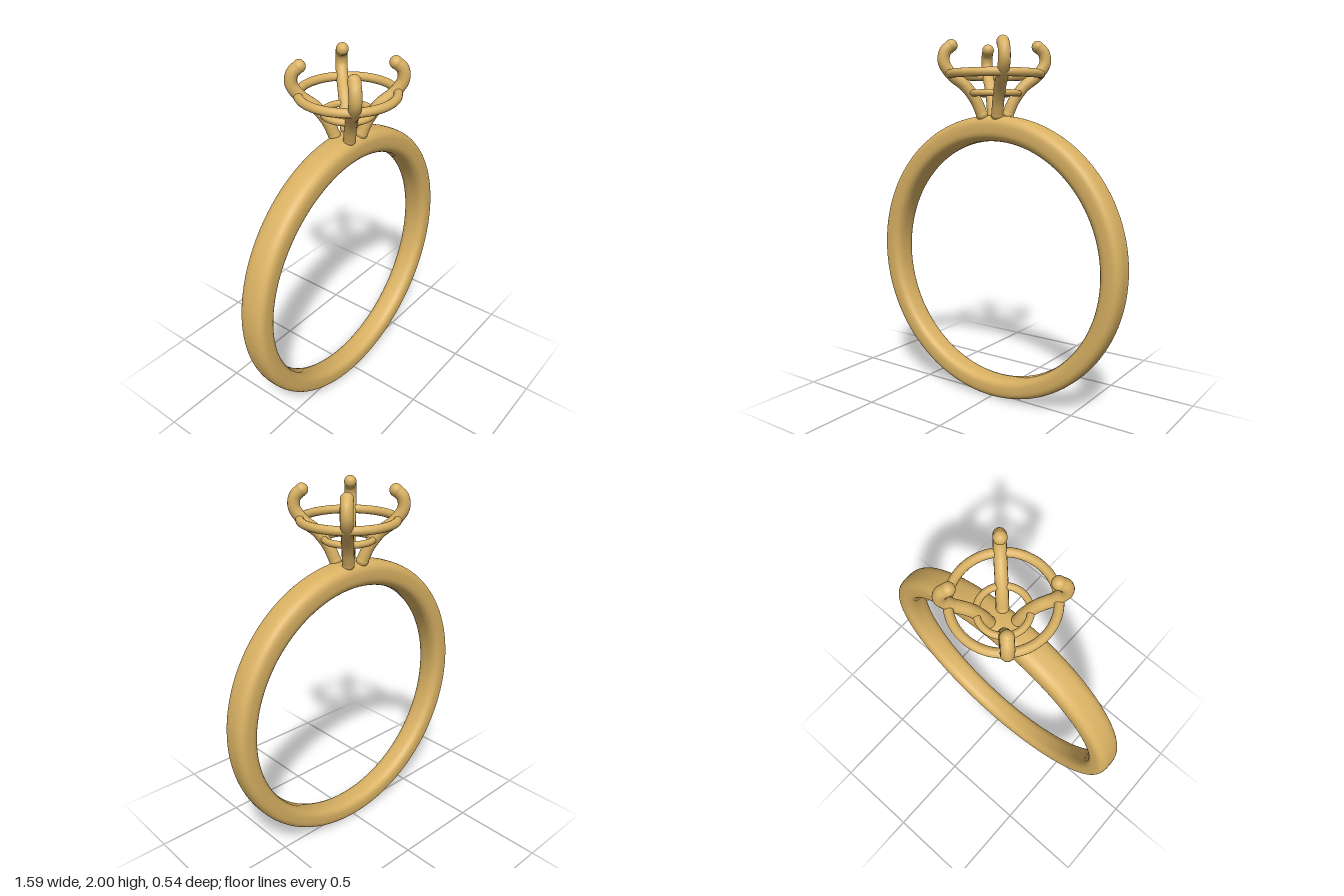
import * as THREE from 'three';
import { mergeVertices } from 'three/addons/utils/BufferGeometryUtils.js';

const gold = new THREE.MeshStandardMaterial({ color: 0xd9b163 });
gold.name = 'gold';

function part(name, geometry) {
  const mesh = new THREE.Mesh(geometry, gold);
  mesh.name = name;
  return mesh;
}

// Band: a torus reshaped to a soft rounded-box section, thicker and wider at the top
function bandGeometry() {
  const sides = 40, steps = 128, inner = 0.673, centreY = 0.79;
  let geo = new THREE.TorusGeometry(1, 0.1, sides, steps);
  geo.deleteAttribute('normal');
  geo.deleteAttribute('uv');
  const pos = geo.attributes.position;
  const soften = (v) => Math.sign(v) * Math.pow(Math.abs(v), 2 / 2.9);
  for (let j = 0; j <= sides; j++) {
    const v = ((j % sides) / sides) * Math.PI * 2;
    for (let i = 0; i <= steps; i++) {
      const u = ((i % steps) / steps) * Math.PI * 2;
      const s = Math.sin(u);
      const thick = 0.122 + 0.012 * s + 0.006 * s * s;
      const halfWidth = 0.077 + 0.008 * s;
      const r = inner + (thick / 2) * (1 + soften(Math.cos(v)));
      pos.setXYZ(j * (steps + 1) + i, r * Math.cos(u), centreY + r * s, halfWidth * soften(Math.sin(v)));
    }
  }
  geo = mergeVertices(geo, 1e-5);
  geo.computeVertexNormals();
  return geo;
}

// Horizontal wire ring of the setting
function wireRing(name, radius, tube, y) {
  const ring = part(name, new THREE.TorusGeometry(radius, tube, 16, 72));
  ring.rotation.x = Math.PI / 2;
  ring.position.y = y;
  return ring;
}

// Claw: bent wire with rounded ends, running out along a diagonal
function claw(sx, sz) {
  const profile = [[0.05, 1.605], [0.073, 1.68], [0.112, 1.755], [0.165, 1.815], [0.195, 1.88], [0.19, 1.935], [0.166, 1.967]];
  const points = profile.map(([d, y]) => new THREE.Vector3(sx * d, y, sz * d));
  const group = new THREE.Group();
  group.name = 'claw';
  const radius = 0.032;
  group.add(part('clawWire', new THREE.TubeGeometry(new THREE.CatmullRomCurve3(points), 40, radius, 16)));
  for (const [name, p] of [['clawFoot', points[0]], ['clawTip', points[points.length - 1]]]) {
    const end = part(name, new THREE.SphereGeometry(radius + 0.001, 20, 14));
    end.position.copy(p);
    group.add(end);
  }
  return group;
}

export function createModel() {
  const model = new THREE.Group();
  model.name = 'ring';
  model.add(part('band', bandGeometry()));

  const setting = new THREE.Group();
  setting.name = 'setting';
  setting.add(wireRing('upperGallery', 0.247, 0.023, 1.82));
  setting.add(wireRing('lowerGallery', 0.126, 0.018, 1.72));
  for (const sx of [-1, 1]) for (const sz of [-1, 1]) setting.add(claw(sx, sz));
  model.add(setting);
  return model;
}
